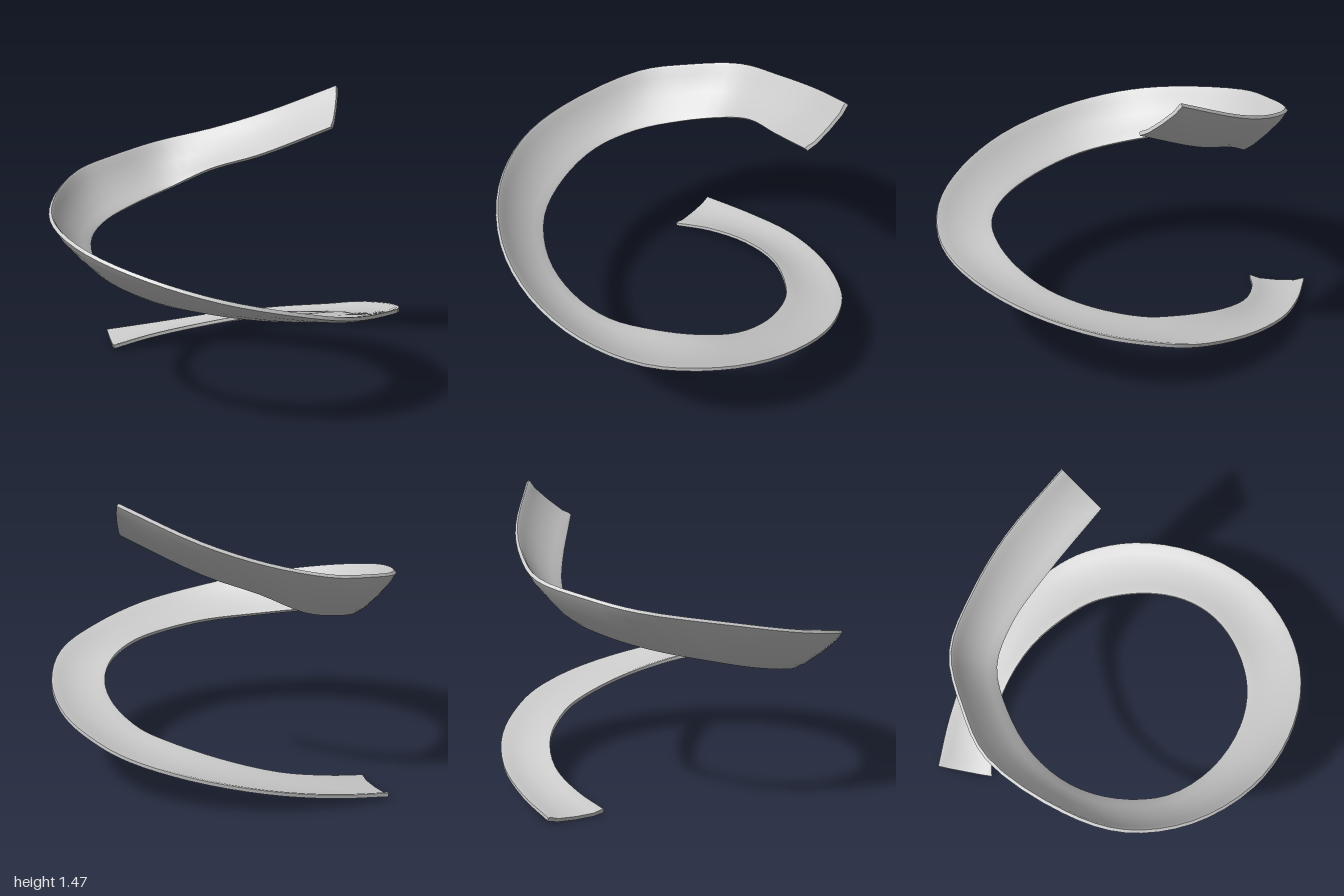
import * as THREE from 'three';
import { toCreasedNormals } from 'three/addons/utils/BufferGeometryUtils.js';

// Paired stations along the two edges of the spiral ribbon, bottom to top
const OUTER = [
  [0.05, 0.04, -1], [0.3, 0.07, -0.85], [0.56, 0.12, -0.64], [0.77, 0.18, -0.35],
  [0.88, 0.24, -0.05], [0.895, 0.29, 0.15], [0.83, 0.35, 0.42], [0.64, 0.42, 0.7],
  [0.35, 0.49, 0.91], [0, 0.54, 0.99], [-0.32, 0.61, 0.93], [-0.6, 0.68, 0.74],
  [-0.8, 0.76, 0.46], [-0.89, 0.84, 0.1], [-0.84, 0.91, -0.23], [-0.67, 0.97, -0.48],
  [-0.31, 1.045, -0.755], [-0.04, 1.09, -0.79], [0.24, 1.14, -0.76], [0.47, 1.21, -0.57],
  [0.66, 1.31, -0.33], [0.835, 1.475, 0.03],
];
const INNER = [
  [-0.1, 0.03, -0.74], [0.1, 0.07, -0.67], [0.32, 0.12, -0.53], [0.5, 0.19, -0.3],
  [0.59, 0.25, -0.03], [0.6, 0.28, 0.13], [0.53, 0.34, 0.37], [0.4, 0.4, 0.55],
  [0.22, 0.46, 0.66], [0, 0.5, 0.7], [-0.23, 0.52, 0.67], [-0.43, 0.55, 0.55],
  [-0.6, 0.585, 0.33], [-0.675, 0.64, 0.06], [-0.62, 0.7, -0.2], [-0.49, 0.76, -0.4],
  [-0.29, 0.81, -0.53], [-0.05, 0.86, -0.58], [0.17, 0.92, -0.56], [0.33, 1.02, -0.42],
  [0.48, 1.11, -0.19], [0.66, 1.285, 0.17],
];

// Shallow channel section: [fraction from inner to outer edge, height along the normal]
const SECTION = [
  [0, 0], [0.05, 0], [0.18, -0.012], [0.5, -0.016], [0.82, -0.012], [0.95, 0], [1, 0],
  [1, -0.018], [0.82, -0.03], [0.5, -0.034], [0.18, -0.03], [0, -0.018],
];

const curve = (pts) => new THREE.CatmullRomCurve3(pts.map((p) => new THREE.Vector3(...p)));

function ribbonGeometry(steps) {
  const outer = curve(OUTER), inner = curve(INNER);
  const n = SECTION.length, positions = [], index = [];

  // Sweep the section between the two edge curves
  for (let i = 0; i <= steps; i++) {
    const t = i / steps;
    const a = inner.getPoint(t), b = outer.getPoint(t);
    const across = b.clone().sub(a);
    const along = outer.getTangent(t).add(inner.getTangent(t));
    const normal = across.clone().cross(along).normalize();
    if (normal.y < 0) normal.negate();
    for (const [u, h] of SECTION) {
      const p = a.clone().addScaledVector(across, u).addScaledVector(normal, h);
      positions.push(p.x, Math.max(p.y, 0), p.z);
    }
  }
  for (let i = 0; i < steps; i++) {
    for (let j = 0; j < n; j++) {
      const k = (j + 1) % n;
      const p = i * n + j, q = i * n + k;
      index.push(p, q, p + n, q, q + n, p + n);
    }
  }

  // Close both ends with the section's own triangulation
  const flat = SECTION.map(([u, h]) => new THREE.Vector2(u, h));
  const last = steps * n;
  for (const [a, b, c] of THREE.ShapeUtils.triangulateShape(flat, [])) {
    index.push(a, b, c, last + a, last + c, last + b);
  }

  const geometry = new THREE.BufferGeometry();
  geometry.setAttribute('position', new THREE.Float32BufferAttribute(positions, 3));
  geometry.setIndex(index);
  return toCreasedNormals(geometry, 0.5);
}

export function createModel() {
  const group = new THREE.Group();
  group.name = 'spiralRibbon';
  const material = new THREE.MeshStandardMaterial({ color: 0xcccccc, side: THREE.DoubleSide });
  const ribbon = new THREE.Mesh(ribbonGeometry(84), material);
  ribbon.name = 'ribbon';
  group.add(ribbon);
  return group;
}
